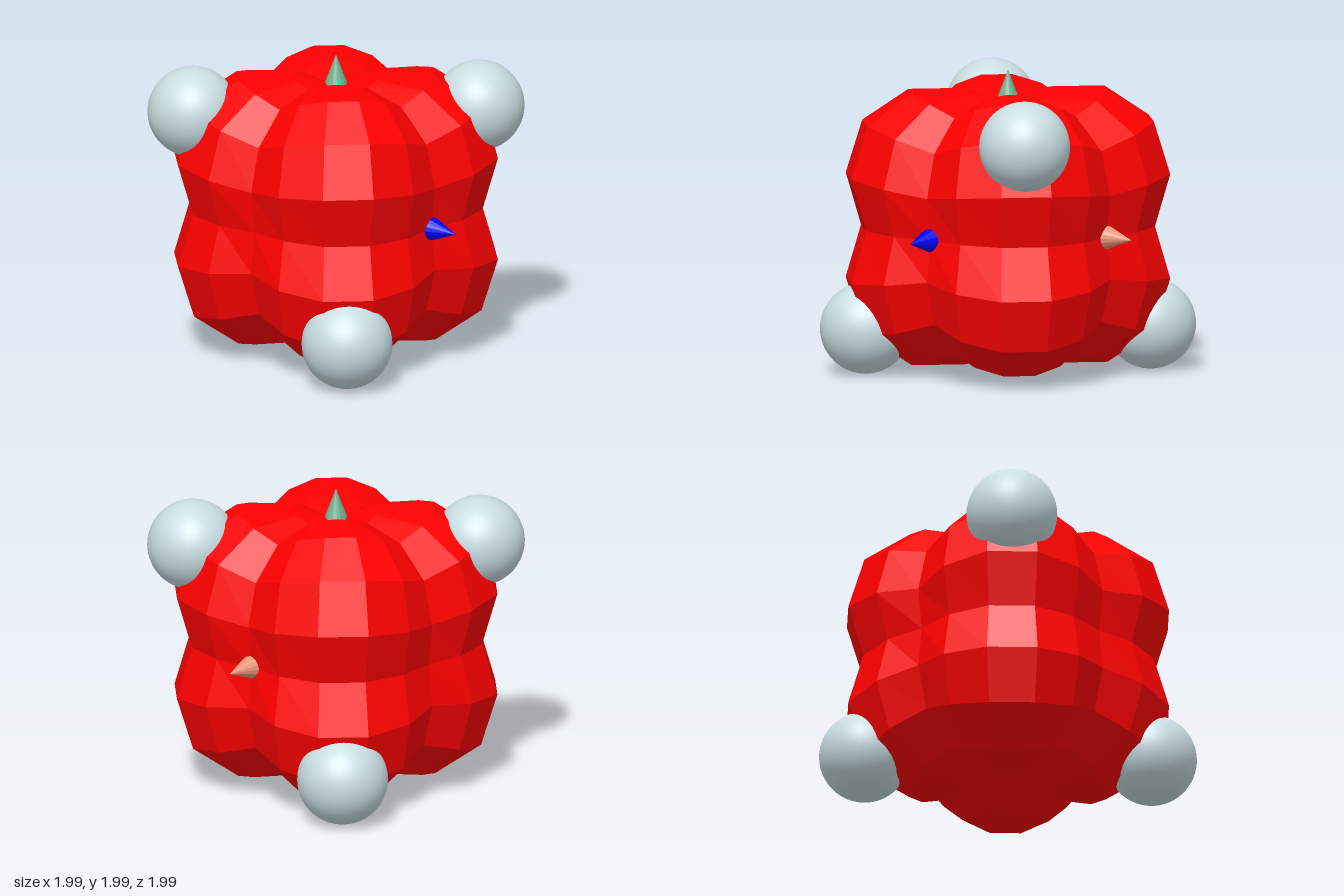
import * as THREE from 'three';

const mat = (color, flatShading = false) => new THREE.MeshStandardMaterial({ color, flatShading });

// Faceted body: a sphere grid pushed outwards toward its eight diagonals
function lobedBody() {
  const geo = new THREE.SphereGeometry(1, 20, 10);
  const pos = geo.attributes.position;
  const d = new THREE.Vector3();
  for (let i = 0; i < pos.count; i++) {
    d.fromBufferAttribute(pos, i).normalize();
    const spread = Math.abs(d.x) + Math.abs(d.y) + Math.abs(d.z);
    const s = Math.max(0, spread * spread - 1);
    const r = 0.82 + 0.295 * Math.pow(s / 1.68, 1.3);
    d.multiplyScalar(r);
    pos.setXYZ(i, d.x, d.y, d.z);
  }
  geo.computeVertexNormals();
  return geo;
}

export function createModel() {
  const model = new THREE.Group();
  model.name = 'lobedBodyWithSpheres';
  model.position.set(-0.04, 0.97, -0.04);

  const body = new THREE.Mesh(lobedBody(), mat(0xff0000, true));
  body.name = 'lobedBody';
  model.add(body);

  // Four balls on alternating diagonals
  const ballGeo = new THREE.SphereGeometry(0.297, 40, 28);
  const ballMat = mat(0xc8dde2);
  for (const [x, y, z] of [[1, 1, 1], [-1, -1, 1], [-1, 1, -1], [1, -1, -1]]) {
    const ball = new THREE.Mesh(ballGeo, ballMat);
    ball.name = 'cornerBall';
    ball.position.set(x, y, z).multiplyScalar(0.663);
    model.add(ball);
  }

  // One cone along each positive axis
  const coneGeo = new THREE.ConeGeometry(0.08, 0.21, 16);
  const up = new THREE.Vector3(0, 1, 0);
  const cones = [
    ['sideCone', [1, 0, 0], 0xe9967a],
    ['topCone', [0, 1, 0], 0x70b090],
    ['frontCone', [0, 0, 1], 0x0000ff],
  ];
  for (const [name, axis, color] of cones) {
    const dir = new THREE.Vector3(...axis);
    const cone = new THREE.Mesh(coneGeo, mat(color, true));
    cone.name = name;
    cone.quaternion.setFromUnitVectors(up, dir);
    cone.position.copy(dir).multiplyScalar(0.925);
    model.add(cone);
  }

  const root = new THREE.Group();
  root.name = 'model';
  root.add(model);
  return root;
}
